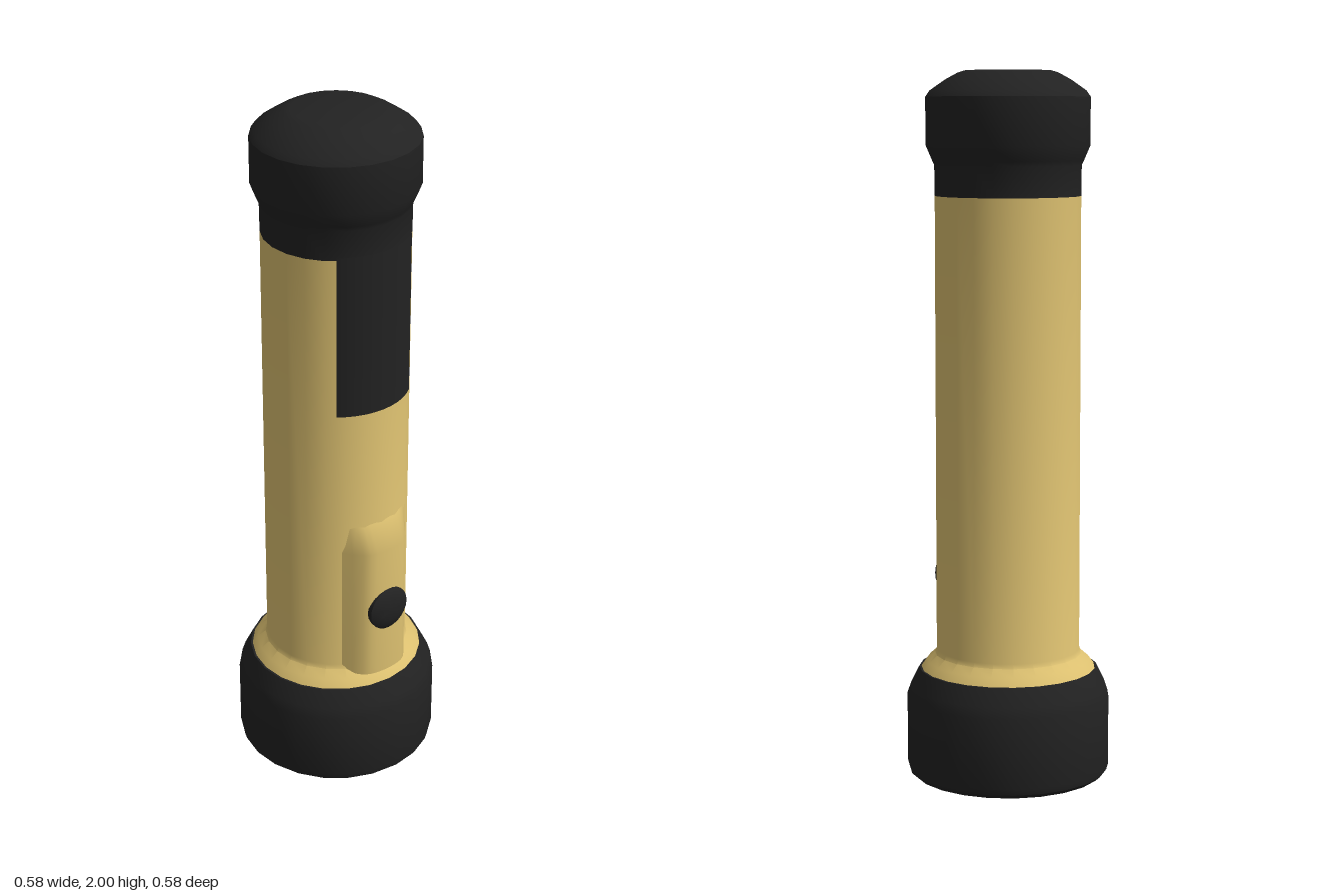
import * as THREE from 'three';
import { toCreasedNormals } from 'three/addons/utils/BufferGeometryUtils.js';

const SIDES = 23;

export function createModel() {
  const model = new THREE.Group();
  model.name = 'flashlight';
  const gold = new THREE.MeshStandardMaterial({ color: 0xdcc070, side: THREE.DoubleSide });
  gold.name = 'gold';
  const black = new THREE.MeshStandardMaterial({ color: 0x222222, side: THREE.DoubleSide });
  black.name = 'black';

  function add(name, geometry, material) {
    const mesh = new THREE.Mesh(geometry, material);
    mesh.name = name;
    model.add(mesh);
    return mesh;
  }
  // Profile points are [radius, height], running upward on the outside
  function turned(points, sides = SIDES) {
    const profile = points.map(([r, y]) => new THREE.Vector2(r, y));
    return toCreasedNormals(new THREE.LatheGeometry(profile, sides), 0.5);
  }

  // Lamp head, with a hollow reflector cone opening downward
  add('lampHead', turned([
    [0, 0.2], [0.1, 0.18], [0.235, 0.03], [0.245, 0], [0.272, 0], [0.285, 0.012], [0.29, 0.03],
    [0.29, 0.23], [0.28, 0.26], [0.255, 0.31], [0.2, 0.31],
  ]), black);

  // Barrel with its flared collar
  add('barrel', turned([[0.253, 0.305], [0.233, 0.332], [0.21, 0.352], [0.205, 0.365], [0.205, 1.655]]), gold);

  // Tail cap
  add('tailCap', turned([
    [0.205, 1.655], [0.206, 1.74], [0.212, 1.753], [0.23, 1.795], [0.23, 1.928],
    [0.218, 1.945], [0.175, 1.975], [0.14, 1.994], [0.12, 2], [0, 2],
  ]), black);

  // Curved grip panel hugging the front of the barrel
  const span = 1.34;
  const panel = new THREE.CylinderGeometry(0.2075, 0.2075, 0.475, 10, 1, true, -span / 2, span);
  add('gripPanel', panel, black).position.y = 1.4275;

  // Raised switch housing: a plate wrapped on the barrel and lifted in its middle
  const rows = [0.83, 0.75, 0.34];
  const columns = 12;
  const housing = new THREE.PlaneGeometry(0.23, 0.49, columns, rows.length - 1);
  const p = housing.attributes.position;
  for (let i = 0; i < p.count; i++) {
    const x = p.getX(i);
    const row = Math.floor(i / (columns + 1));
    const edge = THREE.MathUtils.clamp((0.115 - Math.abs(x)) / 0.045, 0, 1);
    const lift = row === 0 ? -0.002 : 0.037 * edge - 0.002;
    p.setXYZ(i, x, rows[row], Math.sqrt(0.205 ** 2 - x * x) + lift);
  }
  housing.computeVertexNormals();
  add('switchHousing', housing, gold);

  // Domed push button
  const button = turned([[0.066, -0.025], [0.066, 0.004], [0.055, 0.012], [0.035, 0.018], [0, 0.021]], 24);
  button.rotateX(Math.PI / 2);
  add('switchButton', button, black).position.set(0, 0.553, 0.238);

  return model;
}
